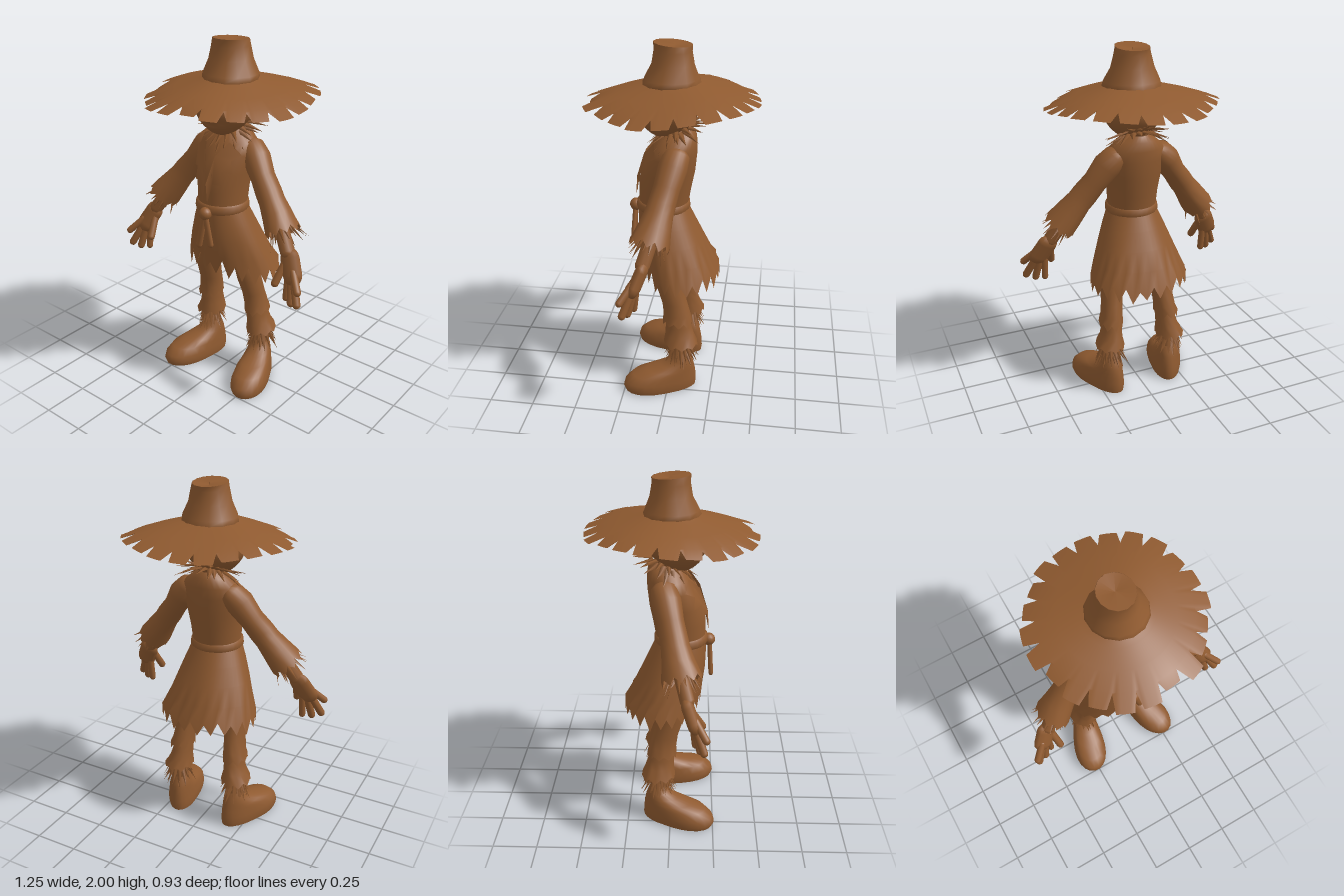
import * as THREE from 'three';

const straw = new THREE.MeshStandardMaterial({ color: 0x8f5a30, side: THREE.DoubleSide });
straw.name = 'strawBrown';

// small seeded generator for ragged edges
let seed = 7;
const rnd = () => (seed = (seed * 16807) % 2147483647) / 2147483647;

function add(parent, name, geometry) {
  const m = new THREE.Mesh(geometry, straw);
  m.name = name;
  parent.add(m);
  return m;
}

// surface through horizontal rings [y, cx, cz, rx, rz], top to bottom;
// mod(row, j, angle) may return [radius factor, y offset]
function loft(rows, seg, mod = () => [1, 0]) {
  const pos = [], idx = [];
  rows.forEach(([y, cx, cz, rx, rz = rx], i) => {
    for (let j = 0; j < seg; j++) {
      const a = (j / seg) * Math.PI * 2;
      const [k, dy] = mod(i, j, a);
      pos.push(cx + Math.sin(a) * rx * k, y + dy, cz + Math.cos(a) * rz * k);
      if (i === rows.length - 1) continue;
      const p = i * seg + j, q = i * seg + ((j + 1) % seg);
      idx.push(p, p + seg, q, q, p + seg, q + seg);
    }
  });
  const g = new THREE.BufferGeometry();
  g.setAttribute('position', new THREE.Float32BufferAttribute(pos, 3));
  g.setIndex(idx);
  g.computeVertexNormals();
  return g;
}

// torn edge on the last ring
const torn = (last, depth) => (i, j) =>
  i === last ? [1, j % 2 ? -depth * (0.4 + rnd() * 0.6) : depth * 0.6] : [1, 0];

// ring of pointed straw blades
function fringe(parent, name, n, rx, rz, length, width, lean) {
  const g = new THREE.Group();
  g.name = name;
  for (let i = 0; i < n; i++) {
    const a = ((i + rnd() * 0.4) / n) * Math.PI * 2, l = length * (0.75 + rnd() * 0.4);
    const c = new THREE.ConeGeometry(width, l, 4);
    c.rotateX(Math.PI).translate(0, -l / 2, 0).scale(1, 1, 0.35);
    const m = add(g, 'strawBlade', c);
    m.rotation.set(-lean - (rnd() - 0.5) * 0.3, a, 0, 'YXZ');
    m.position.set(Math.sin(a) * rx, 0, Math.cos(a) * rz);
  }
  parent.add(g);
  return g;
}

// rounded limb between two points
function limb(parent, name, a, b, r, flat = 1) {
  const p = new THREE.Vector3(...a), q = new THREE.Vector3(...b);
  const d = q.clone().sub(p);
  const m = add(parent, name, new THREE.CapsuleGeometry(r, d.length(), 4, 10).scale(1, 1, flat));
  m.position.copy(p).add(q).multiplyScalar(0.5);
  m.quaternion.setFromUnitVectors(new THREE.Vector3(0, -1, 0), d.normalize());
}

const torsoRows = [
  [1.54, 0, -0.03, 0.06, 0.07], [1.51, 0, -0.03, 0.1, 0.095], [1.46, 0, -0.015, 0.16, 0.115],
  [1.4, 0, 0.005, 0.17, 0.135], [1.3, 0, 0.03, 0.155, 0.15], [1.2, 0, 0.045, 0.142, 0.145],
  [1.08, 0, 0.055, 0.135, 0.135],
];

// front of the coat at a given x and y
function chestZ(x, y) {
  let i = 0;
  while (i < torsoRows.length - 2 && torsoRows[i + 1][0] > y) i++;
  const A = torsoRows[i], B = torsoRows[i + 1], t = (A[0] - y) / (A[0] - B[0]);
  const mix = (k) => A[k] + (B[k] - A[k]) * t;
  return mix(2) + mix(4) * Math.sqrt(Math.max(0, 1 - (x / mix(3)) ** 2));
}

function buildHat(parent) {
  const hat = new THREE.Group();
  hat.name = 'hat';
  add(hat, 'hatCrown', loft([
    [1.985, 0.015, -0.005, 0.001], [1.995, 0.015, 0, 0.094, 0.1], [1.995, 0.015, 0, 0.094, 0.1],
    [1.96, 0.015, 0, 0.1], [1.89, 0.015, 0, 0.115], [1.82, 0.018, 0.005, 0.148],
    [1.795, 0.018, 0.005, 0.156], [1.78, 0.018, 0.005, 0.15],
  ], 14, (i, j, a) => [1 + 0.03 * Math.sin(2 * a + i), i < 3 ? 0.008 * Math.cos(a) : 0]));
  // brim ends in wide teeth with narrow notches
  const teeth = Array.from({ length: 22 }, () => 0.95 + rnd() * 0.1);
  add(hat, 'hatBrim', loft([
    [1.8, 0.018, 0, 0.14], [1.785, 0.018, 0, 0.19], [1.758, 0.018, 0, 0.29],
    [1.728, 0.018, 0, 0.38], [1.695, 0.018, 0, 0.455],
  ], 132, (i, j, a) => {
    const dy = (i / 4) * (0.014 * Math.sin(3 * a + 1) - 0.016 * Math.cos(a));
    if (i < 4) return [1, dy];
    return j % 6 ? [teeth[Math.floor(j / 6)], dy] : [0.85, dy + 0.028];
  }));
  parent.add(hat);
}

function buildHead(parent) {
  const g = new THREE.SphereGeometry(1, 40, 30);
  const p = g.attributes.position;
  for (let i = 0; i < p.count; i++) {
    const x = p.getX(i), y = p.getY(i), z = p.getZ(i);
    const k = y < 0 ? 1 - 0.22 * y * y : 1;
    let dz = 0;
    if (z > 0) {
      // eye hollows and a curved mouth crease
      dz -= 0.022 * Math.exp(-(((Math.abs(x) - 0.4) / 0.2) ** 2) - ((y - 0.12) / 0.12) ** 2);
      if (Math.abs(x) < 0.55) dz -= 0.01 * Math.exp(-(((y + 0.5 - 0.5 * x * x) / 0.06) ** 2));
    }
    p.setXYZ(i, x * 0.165 * k, 1.66 + y * 0.17, 0.03 + z * 0.17 * k + (y < 0 ? 0.025 * y * y : 0) + dz);
  }
  g.computeVertexNormals();
  add(parent, 'head', g);
}

function buildCoat(parent) {
  add(parent, 'coatBody', loft(torsoRows, 28));
  // belt with knot, loops and hanging ends
  add(parent, 'belt', loft([
    [1.125, 0, 0.055, 0.134, 0.134], [1.115, 0, 0.055, 0.146, 0.148],
    [1.085, 0, 0.055, 0.15, 0.15], [1.07, 0, 0.055, 0.138, 0.138],
  ], 28));
  add(parent, 'beltKnot', new THREE.SphereGeometry(0.036, 14, 10)).position.set(0.005, 1.08, 0.21);
  limb(parent, 'beltEnd', [0, 1.06, 0.215], [-0.03, 0.89, 0.225], 0.02, 0.7);
  limb(parent, 'beltEnd', [0.01, 1.06, 0.215], [0.05, 0.91, 0.222], 0.018, 0.7);
  // skirt with a ragged hem, shorter in front
  add(parent, 'coatSkirt', loft([
    [1.09, 0, 0.055, 0.138, 0.138], [1.0, 0, 0.035, 0.175, 0.16], [0.9, 0, 0.01, 0.212, 0.182],
    [0.8, 0, -0.02, 0.248, 0.2], [0.69, 0, -0.05, 0.284, 0.218],
  ], 44, (i, j, a) => {
    const lift = (0.06 * Math.max(0, Math.cos(a)) ** 2) * (i / 4);
    if (i < 4) return [1 + 0.015 * i * 0.5 * Math.sin(6 * a), lift * 0.5];
    return [1, lift + (j % 2 ? -0.03 - rnd() * 0.03 : 0.01 + rnd() * 0.04)];
  }));
  // ragged lapels lying on the chest
  const outline = [[0.08, 1.47], [0.15, 1.41], [0.115, 1.38], [0.13, 1.31], [0.08, 1.325],
    [0.09, 1.25], [0.045, 1.255], [0.015, 1.14], [0.004, 1.25], [0.03, 1.4]];
  for (const s of [1, -1]) {
    const pts = outline.map(([x, y]) => new THREE.Vector2(x * s, y));
    const g = new THREE.ShapeGeometry(new THREE.Shape(pts));
    const p = g.attributes.position;
    for (let i = 0; i < p.count; i++) p.setZ(i, chestZ(p.getX(i), p.getY(i)) + 0.018);
    g.computeVertexNormals();
    add(parent, 'lapel', g);
  }
  const collar = fringe(parent, 'strawCollar', 20, 0.085, 0.095, 0.11, 0.02, 1.1);
  collar.position.set(0, 1.525, -0.015);
  collar.rotation.x = 0.42;
  const under = fringe(parent, 'strawCollarUnder', 16, 0.08, 0.09, 0.1, 0.018, 1.45);
  under.position.set(0, 1.545, -0.02);
  under.rotation.x = 0.42;
}

function buildArm(side) {
  // sleeve hangs along its own axis, then is swung outward
  const sleeve = new THREE.Group();
  sleeve.name = 'sleeve';
  sleeve.position.set(0.14, 1.41, -0.03);
  sleeve.quaternion.setFromUnitVectors(new THREE.Vector3(0, -1, 0),
    new THREE.Vector3(0.29, -0.38, 0.1).normalize());
  add(sleeve, 'sleeveCloth', loft([
    [0.06, 0, 0, 0.03, 0.04], [0.03, 0, 0, 0.065, 0.07], [-0.05, 0.005, 0, 0.076, 0.08],
    [-0.16, 0, 0, 0.064, 0.072], [-0.25, 0, 0, 0.07, 0.075], [-0.3, 0, 0, 0.068, 0.077],
    [-0.38, 0, 0, 0.078, 0.09], [-0.475, 0, 0, 0.088, 0.108],
  ], 20, torn(7, 0.025)));
  fringe(sleeve, 'wristStraw', 15, 0.045, 0.05, 0.12, 0.017, 0.45).position.y = -0.43;
  side.add(sleeve);
  // hand
  limb(side, 'wrist', [0.39, 1.08, 0.055], [0.47, 0.95, 0.095], 0.04);
  limb(side, 'palm', [0.49, 0.92, 0.1], [0.53, 0.845, 0.13], 0.058, 0.6);
  limb(side, 'finger', [0.54, 0.87, 0.14], [0.605, 0.795, 0.195], 0.02);
  limb(side, 'finger', [0.545, 0.83, 0.14], [0.597, 0.715, 0.185], 0.021);
  limb(side, 'finger', [0.525, 0.82, 0.135], [0.548, 0.7, 0.165], 0.021);
  limb(side, 'finger', [0.5, 0.83, 0.125], [0.5, 0.705, 0.14], 0.019);
  limb(side, 'thumb', [0.47, 0.9, 0.11], [0.45, 0.79, 0.175], 0.021);
}

function buildLeg(side) {
  add(side, 'trouserThigh', loft([
    [0.96, 0.075, 0, 0.075, 0.09], [0.75, 0.135, 0.01, 0.07, 0.08], [0.65, 0.15, 0, 0.066, 0.075],
    [0.55, 0.16, -0.03, 0.06, 0.072], [0.48, 0.168, -0.045, 0.062, 0.078], [0.43, 0.175, -0.05, 0.07, 0.086],
  ], 18, torn(5, 0.025)));
  add(side, 'trouserCuff', loft([
    [0.5, 0.167, -0.045, 0.05, 0.06], [0.4, 0.172, -0.055, 0.057, 0.075],
    [0.35, 0.18, -0.063, 0.064, 0.084], [0.295, 0.19, -0.07, 0.084, 0.098],
  ], 18, torn(3, 0.02)));
  limb(side, 'ankle', [0.18, 0.36, -0.065], [0.19, 0.16, -0.07], 0.048);
  fringe(side, 'ankleStraw', 16, 0.045, 0.05, 0.12, 0.017, 0.4).position.set(0.19, 0.3, -0.07);
  fringe(side, 'ankleStrawLower', 14, 0.042, 0.046, 0.1, 0.016, 0.5).position.set(0.19, 0.265, -0.07);
  // shoe rings given as [y, back, front, half width], toe turned out
  const rings = [[0.215, -0.05, 0.05, 0.048], [0.18, -0.065, 0.065, 0.06], [0.15, -0.075, 0.12, 0.068],
    [0.125, -0.08, 0.2, 0.078], [0.1, -0.086, 0.285, 0.086], [0.06, -0.09, 0.33, 0.093],
    [0.025, -0.092, 0.34, 0.095], [0, -0.088, 0.33, 0.09], [0, -0.088, 0.33, 0.09], [0, 0.1, 0.101, 0.001]];
  const shoe = add(side, 'shoe', loft(rings.map(([y, b, f, w]) => [y, 0, (b + f) / 2, w, (f - b) / 2]), 24));
  // broaden the toe
  const p = shoe.geometry.attributes.position;
  for (let i = 0; i < p.count; i++) p.setX(i, p.getX(i) * (1 + Math.max(0, p.getZ(i) - 0.08) * 1.3));
  shoe.geometry.computeVertexNormals();
  shoe.position.set(0.185, 0, -0.07);
  shoe.rotation.y = 0.3;
}

export function createModel() {
  seed = 7;
  const model = new THREE.Group();
  model.name = 'scarecrow';
  buildHat(model);
  buildHead(model);
  buildCoat(model);
  for (const s of [1, -1]) {
    const side = new THREE.Group();
    side.name = s > 0 ? 'leftLimbs' : 'rightLimbs';
    buildArm(side);
    buildLeg(side);
    side.scale.x = s;
    model.add(side);
  }
  return model;
}
